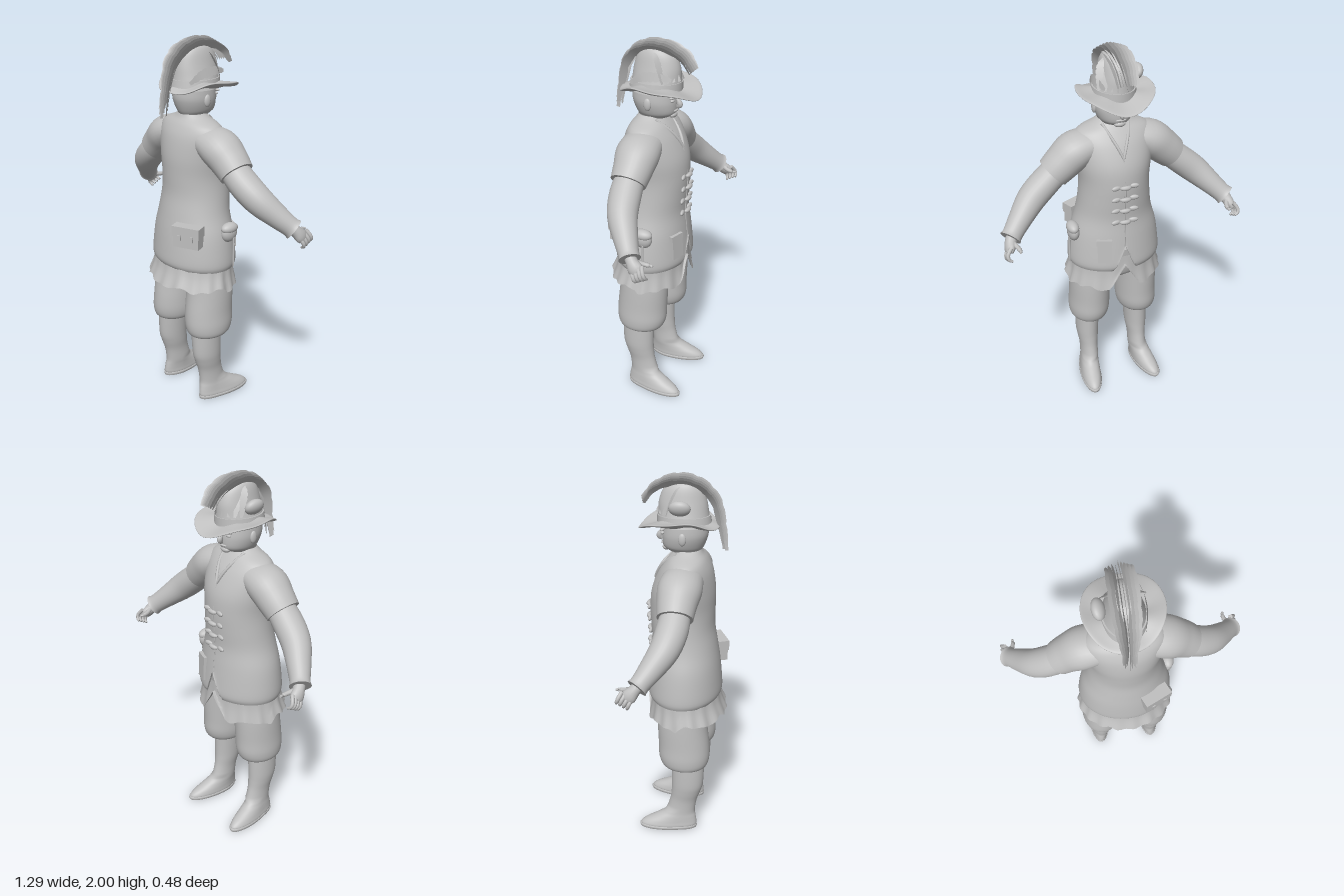
import * as THREE from 'three';

const V = (x, y, z) => new THREE.Vector3(x, y, z);
const clay = new THREE.MeshStandardMaterial({ color: 0xc0c0c0, side: THREE.DoubleSide });
clay.name = 'clay grey';

// Resample rows of numbers with a smooth spline
function smooth(rows, steps) {
  const curves = rows[0].map((_, k) => new THREE.SplineCurve(rows.map((r, i) => new THREE.Vector2(i, r[k]))));
  return Array.from({ length: steps + 1 }, (_, i) => curves.map(c => c.getPoint(i / steps).y));
}

// Skin a list of closed rings, with optional end caps
function skin(rings, capStart, capEnd) {
  const n = rings[0].length, pos = [], idx = [];
  rings.forEach(r => r.forEach(p => pos.push(p.x, p.y, p.z)));
  for (let r = 0; r < rings.length - 1; r++) for (let j = 0; j < n; j++) {
    const a = r * n + j, b = r * n + (j + 1) % n;
    idx.push(a, a + n, b, b, a + n, b + n);
  }
  const cap = (ring, flip) => {
    const base = pos.length / 3, mid = V(0, 0, 0);
    ring.forEach(p => { pos.push(p.x, p.y, p.z); mid.addScaledVector(p, 1 / n); });
    pos.push(mid.x, mid.y, mid.z);
    for (let j = 0; j < n; j++) {
      const a = base + j, b = base + (j + 1) % n;
      flip ? idx.push(base + n, a, b) : idx.push(base + n, b, a);
    }
  };
  if (capStart) cap(rings[0], true);
  if (capEnd) cap(rings[rings.length - 1], false);
  const g = new THREE.BufferGeometry();
  g.setAttribute('position', new THREE.Float32BufferAttribute(pos, 3));
  g.setIndex(idx);
  g.computeVertexNormals();
  return g;
}

// Horizontal rings, rows: [y, centre x, half width, z front, z back]
function loft(rows, { steps = 24, n = 48, warp, caps = true } = {}) {
  return skin(smooth(rows, steps).map(([y, cx, rx, zf, zb]) => Array.from({ length: n }, (_, j) => {
    const t = j / n * Math.PI * 2;
    const p = V(cx + rx * Math.cos(t), y, (zf + zb) / 2 + (zb - zf) / 2 * Math.sin(t));
    if (warp) warp(p, t);
    return p;
  })), caps, caps);
}

// Tapered tube along a path, rows: [x, y, z, radius A, radius B]
function limb(rows, steps = 14, n = 18, ref = V(0, 0, 1)) {
  const s = smooth(rows, steps), at = i => V(...s[Math.max(0, Math.min(steps, i))].slice(0, 3));
  return skin(s.map(([x, y, z, ra, rb], i) => {
    const T = at(i + 1).sub(at(i - 1)).normalize();
    const S = V(0, 0, 0).crossVectors(T, ref).normalize(), U = V(0, 0, 0).crossVectors(S, T);
    return Array.from({ length: n }, (_, j) => {
      const t = j / n * Math.PI * 2;
      return V(x, y, z).addScaledVector(S, ra * Math.cos(t)).addScaledVector(U, rb * Math.sin(t));
    });
  }), true, true);
}

export function createModel() {
  const model = new THREE.Group();
  model.name = 'adventurer';
  const add = (name, geo, pos, scale, rot) => {
    const m = new THREE.Mesh(geo, clay);
    m.name = name;
    if (pos) m.position.set(...pos);
    if (scale) m.scale.set(...scale);
    if (rot) m.rotation.set(...rot);
    model.add(m);
    return m;
  };
  const ball = new THREE.SphereGeometry(1, 24, 16);

  // Coat with a notch at the front hem
  add('coat', loft([
    [.80, 0, .247, -.185, .19], [.83, 0, .255, -.195, .203], [.9, 0, .25, -.19, .2], [1.0, 0, .235, -.18, .19],
    [1.1, 0, .207, -.17, .175], [1.2, 0, .192, -.176, .16], [1.3, 0, .187, -.18, .16], [1.4, 0, .2, -.17, .16],
    [1.5, 0, .21, -.13, .145], [1.56, 0, .19, -.09, .12], [1.595, 0, .11, -.06, .095], [1.615, 0, .075, -.045, .085],
  ], { steps: 44, n: 96, caps: false, warp: p => { if (p.z < 0) p.y = Math.max(p.y, .8 + .15 * (1 - Math.abs(p.x) / .06)); } }));

  // Flared undertunic with a ragged hem, open in front
  add('undertunic', loft([[.705, 0, .268, -.195, .23], [.78, 0, .247, -.18, .2], [.88, 0, .235, -.175, .18]], {
    steps: 10, n: 96, caps: false, warp: (p, t) => {
      const low = (.88 - p.y) / .175;
      p.y += low * (.008 * Math.sin(7 * t) + .006 * Math.sin(13 * t) - (p.z < 0 ? .015 : 0));
      p.x *= 1 + low * .02 * Math.sin(18 * t);
      p.z *= 1 + low * .02 * Math.sin(18 * t);
      if (p.z < 0) p.y = Math.max(p.y, .68 + .15 * (1 - Math.abs(p.x) / .09));
    } }));
  add('hips', loft([[.69, 0, .1, -.08, .09], [.74, 0, .2, -.13, .14], [.9, 0, .22, -.15, .16]], { steps: 8 }));

  // Legs, arms and hands, mirrored
  for (const s of [1, -1]) {
    add('breeches', loft([
      [.4, .145, .068, -.06, .11], [.42, .145, .1, -.1, .143], [.47, .142, .112, -.12, .157],
      [.55, .138, .112, -.123, .155], [.68, .134, .111, -.128, .142], [.85, .12, .112, -.13, .14],
    ].map(r => [r[0], r[1] * s, ...r.slice(2)])));
    add('boot', loft([
      [.005, .16, .045, -.205, .07], [.02, .16, .057, -.225, .09], [.045, .158, .055, -.2, .09],
      [.075, .155, .052, -.14, .085], [.11, .151, .05, -.085, .08], [.18, .15, .05, -.06, .09],
      [.24, .15, .058, -.052, .11], [.3, .15, .063, -.05, .125], [.43, .145, .066, -.05, .13],
    ].map(r => [r[0], r[1] * s, ...r.slice(2)]), { steps: 36, warp: p => { if (p.y < .12) p.x += s * Math.max(0, -p.z) * .12; } }));
    add('bootSole', loft([[0, .16, .056, -.228, .09], [.012, .16, .061, -.232, .094], [.02, .16, .058, -.228, .092]]
      .map(r => [r[0], r[1] * s, ...r.slice(2)]), { steps: 4, warp: p => { p.x += s * Math.max(0, -p.z) * .12; } }));

    const arm = (rows, steps, n) => limb(rows.map(r => [r[0] * s, ...r.slice(1)]), steps, n);
    add('shortSleeve', arm([[.1, 1.5, .01, .07, .1], [.2, 1.465, .005, .097, .112], [.27, 1.41, 0, .094, .1],
      [.325, 1.36, 0, .086, .09]], 14, 28));
    add('longSleeve', arm([[.27, 1.4, 0, .07, .07], [.36, 1.325, -.005, .075, .08], [.45, 1.25, -.03, .074, .075],
      [.53, 1.175, -.085, .06, .06], [.58, 1.127, -.125, .052, .05], [.596, 1.112, -.138, .057, .054]], 20, 28));
    add('palm', arm([[.58, 1.13, -.125, .03, .03], [.598, 1.1, -.15, .03, .03], [.61, 1.075, -.172, .026, .038],
      [.617, 1.058, -.185, .018, .032]], 8, 14));
    for (let f = 0; f < 4; f++) {
      const z = -.155 - f * .017, y = 1.05 + f * .009;
      add('finger', arm([[.612, y + .02, z, .011, .011], [.632, y - .008, z - .015, .01, .01],
        [.63, y - .03, z - .024, .009, .009], [.612, y - .041, z - .028, .006, .006]], 8, 8));
    }
    add('thumb', arm([[.592, 1.1, -.165, .014, .014], [.575, 1.088, -.2, .012, .012], [.57, 1.085, -.228, .01, .01],
      [.574, 1.085, -.246, .005, .005]], 8, 8).rotateZ(0));

    // Neckline edges and ears
    add('neckline', limb([[s * .07, 1.6, -.03, .01, .008], [s * .045, 1.55, -.092, .01, .008],
      [s * .02, 1.5, -.131, .01, .008], [0, 1.45, -.154, .008, .006]], 10, 8, V(1, 0, 0)));
    add('ear', ball, [s * .1, 1.685, 0], [.012, .032, .02]);
    add('eye', ball, [s * .038, 1.7, -.107], [.016, .008, .01]);
    add('brow', ball, [s * .04, 1.718, -.108], [.026, .008, .012]);
  }

  // Head and face
  add('head', loft([[1.55, 0, .065, -.03, .08], [1.59, 0, .065, -.045, .08], [1.61, 0, .068, -.088, .085],
    [1.63, 0, .083, -.11, .097], [1.67, 0, .097, -.115, .113], [1.71, 0, .101, -.112, .12], [1.79, 0, .095, -.1, .115]]));
  add('nose', limb([[0, 1.715, -.108, .008, .008], [0, 1.69, -.125, .012, .012], [0, 1.672, -.13, .017, .012],
    [0, 1.66, -.115, .01, .006]], 8, 12, V(1, 0, 0)));
  add('mouth', ball, [0, 1.643, -.112], [.028, .006, .008]);
  add('chin', ball, [0, 1.618, -.095], [.03, .016, .02]);

  // Hat: curled brim, crown and band
  const curl = p => { p.y += .04 * (p.x / .19) ** 2 - .018 * (p.z / .2) ** 2 + .006 * Math.sin(5 * Math.atan2(p.z, p.x)); };
  add('hatBrim', loft([[1.735, 0, .09, -.1, .1], [1.738, 0, .15, -.18, .14], [1.742, 0, .192, -.23, .175],
    [1.75, 0, .19, -.228, .173], [1.757, 0, .15, -.17, .14], [1.765, 0, .1, -.11, .11]], { steps: 20, warp: curl }));
  add('hatBand', loft([[1.75, 0, .113, -.14, .135], [1.79, 0, .106, -.14, .128]], { steps: 3 }));
  add('hatCrown', loft([[1.74, 0, .115, -.14, .13], [1.8, 0, .096, -.135, .12], [1.86, 0, .08, -.13, .11],
    [1.92, 0, .064, -.105, .09], [1.95, 0, .045, -.06, .055], [1.955, 0, .01, -.01, .01]], { steps: 20 }));

  // A feather is a serrated ribbon along a curve; "lean" tips the blade sideways
  const feather = (pts, width, lean) => {
    const curve = new THREE.CatmullRomCurve3(pts.map(p => V(...p))), n = 32, pos = [], idx = [];
    for (let i = 0; i <= n; i++) {
      const t = i / n, p = curve.getPoint(t), T = curve.getTangent(t);
      const out = V(0, 0, 0).crossVectors(T, V(1, 0, 0)).normalize().multiplyScalar(Math.cos(lean)).add(V(Math.sin(lean), 0, 0));
      const w = width * (.35 + .65 * Math.sin(Math.PI * t)) * (i % 4 === 3 ? .8 : 1);
      for (const k of [-1, 1]) { const q = p.clone().addScaledVector(out, k * w); pos.push(q.x, Math.min(q.y, 2), q.z); }
      if (i < n) idx.push(2 * i, 2 * i + 1, 2 * i + 2, 2 * i + 1, 2 * i + 3, 2 * i + 2);
    }
    const g = new THREE.BufferGeometry();
    g.setAttribute('position', new THREE.Float32BufferAttribute(pos, 3));
    g.setIndex(idx);
    g.computeVertexNormals();
    return g;
  };

  // Crest of feathers sweeping from the brow over the crown and down the back
  for (let i = -4; i <= 4; i++) {
    const x = i * .012, d = Math.abs(i) * .004, tail = 1.61 + (Math.abs(i) * 37 % 5) * .014;
    add('crestFeather', feather([[x, 1.865 - d, -.215 + d], [x * 1.1, 1.93 - d, -.15], [x * 1.1, 1.97 - d, -.04],
      [x, 1.95 - d, .07], [x * .8, 1.87, .155 - d], [x * .5, 1.75, .19 - d], [x * .6, tail, .212 - d]], .027, i * .2));
    if (i) add('sideFeather', feather([[x * .6, 1.95, -.01], [x * 1.5, 1.92, -.05 + d], [x * 1.9, 1.86, -.11 + 3 * d],
      [x * 2.1, 1.8, -.16 + 5 * d]], .02, i * .3));
  }
  add('hatTuft', ball, [-.115, 1.845, -.01], [.03, .042, .055], [0, 0, .5]);
  add('hatQuill', feather([[.085, 1.78, .1], [.1, 1.82, .03], [.1, 1.83, -.05], [.085, 1.82, -.12]], .025, .2));

  // Toggle fastenings down the chest
  for (let i = 0; i < 4; i++) {
    const y = 1.1 + i * .068, z = -.178 - (i > 1 ? .004 : 0);
    add('toggle', limb([[-.028, y, z, .006, .006], [-.014, y, z - .008, .012, .012], [.014, y, z - .008, .012, .012],
      [.028, y, z, .006, .006]], 8, 10));
    for (const s of [1, -1]) add('toggleLoop', ball, [s * .048, y, z + .005], [.026, .013, .01], [0, s * .15, 0]);
  }
  add('frontSeam', limb([[0, 1.45, -.153, .004, .004], [0, 1.3, -.18, .004, .004], [0, 1.2, -.176, .004, .004],
    [0, 1.08, -.172, .004, .004], [0, .95, -.185, .004, .004]], 16, 6, V(1, 0, 0)));

  // Pouch, round purse, knife and pocket
  const pouch = new THREE.Group();
  pouch.name = 'beltPouch';
  pouch.position.set(.145, 1.01, .165);
  pouch.rotation.y = .42;
  const part = (name, geo, x, y, z) => { const m = new THREE.Mesh(geo, clay); m.name = name; m.position.set(x, y, z); pouch.add(m); };
  part('pouchBody', new THREE.BoxGeometry(.145, .11, .06), 0, 0, 0);
  part('pouchFlap', new THREE.BoxGeometry(.155, .055, .07), 0, .032, .001);
  for (const s of [1, -1]) part('pouchBuckle', new THREE.BoxGeometry(.018, .03, .012), s * .035, 0, .035);
  model.add(pouch);
  add('purse', ball, [.237, 1.01, -.035], [.032, .052, .05]);
  add('purseFlap', ball, [.24, 1.035, -.035], [.033, .03, .052]);
  add('knife', new THREE.CylinderGeometry(.006, .004, .16, 8), [.264, .905, -.045]);
  add('pocket', new THREE.BoxGeometry(.075, .13, .015), [.11, .93, -.172], null, [.06, -.33 + Math.PI, 0]);
  add('pocketFlap', new THREE.BoxGeometry(.082, .03, .022), [.11, .985, -.166], null, [.06, -.33 + Math.PI, 0]);
  return model;
}
